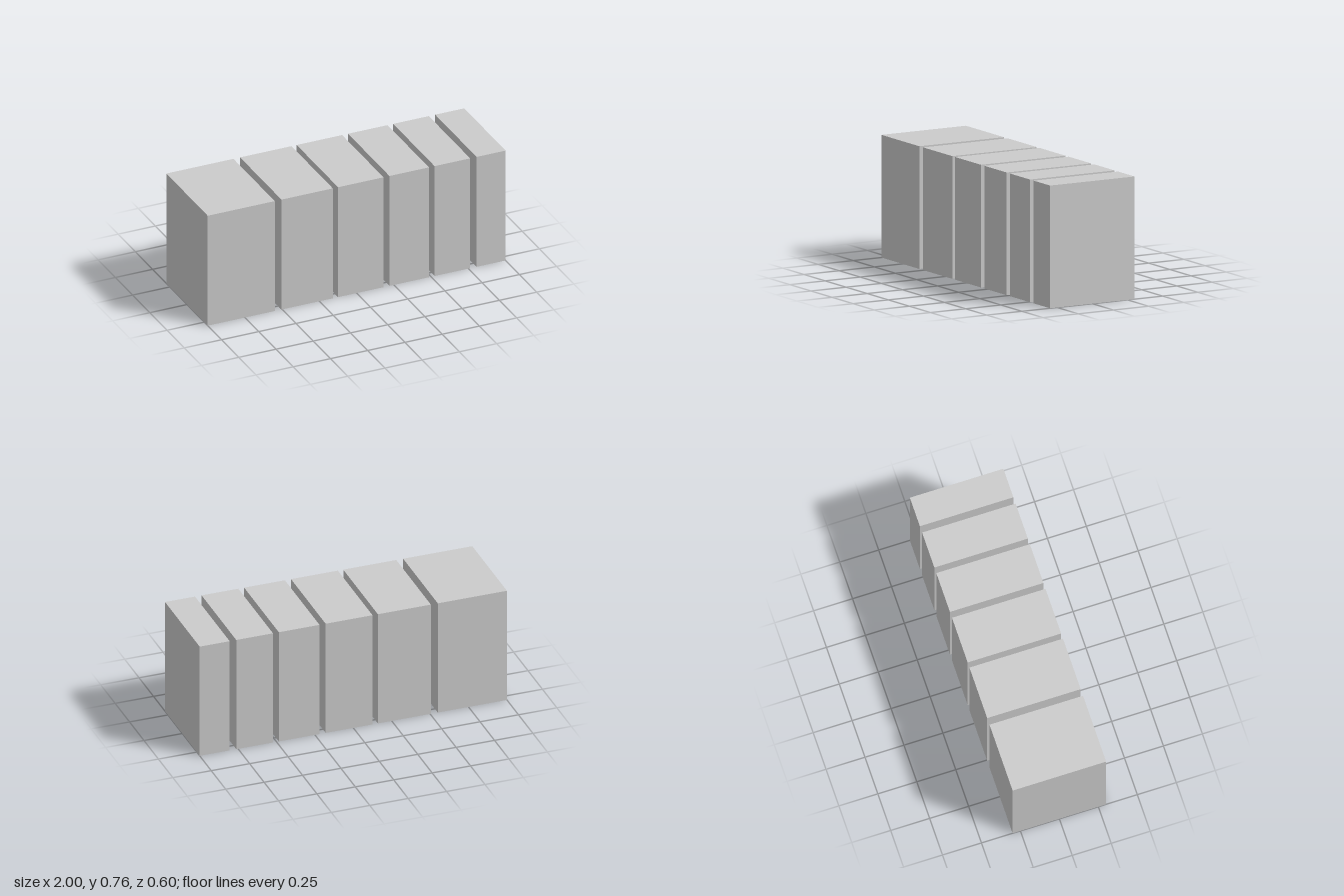
import * as THREE from 'three';

const HEIGHT = 0.76;
const DEPTH = 0.6;

// Left and right x edge of each block, widest to narrowest
const SPANS = [
  [-1, -0.55],
  [-0.505, -0.16],
  [-0.125, 0.18],
  [0.22, 0.485],
  [0.523, 0.762],
  [0.805, 1],
];

export function createModel() {
  const model = new THREE.Group();
  model.name = 'blockRow';
  const material = new THREE.MeshStandardMaterial({ color: 0xcccccc });

  // Row of separate blocks standing on the ground
  SPANS.forEach(([x0, x1], i) => {
    const block = new THREE.Mesh(new THREE.BoxGeometry(x1 - x0, HEIGHT, DEPTH), material);
    block.name = `block${i + 1}`;
    block.position.set((x0 + x1) / 2, HEIGHT / 2, 0);
    model.add(block);
  });

  return model;
}
